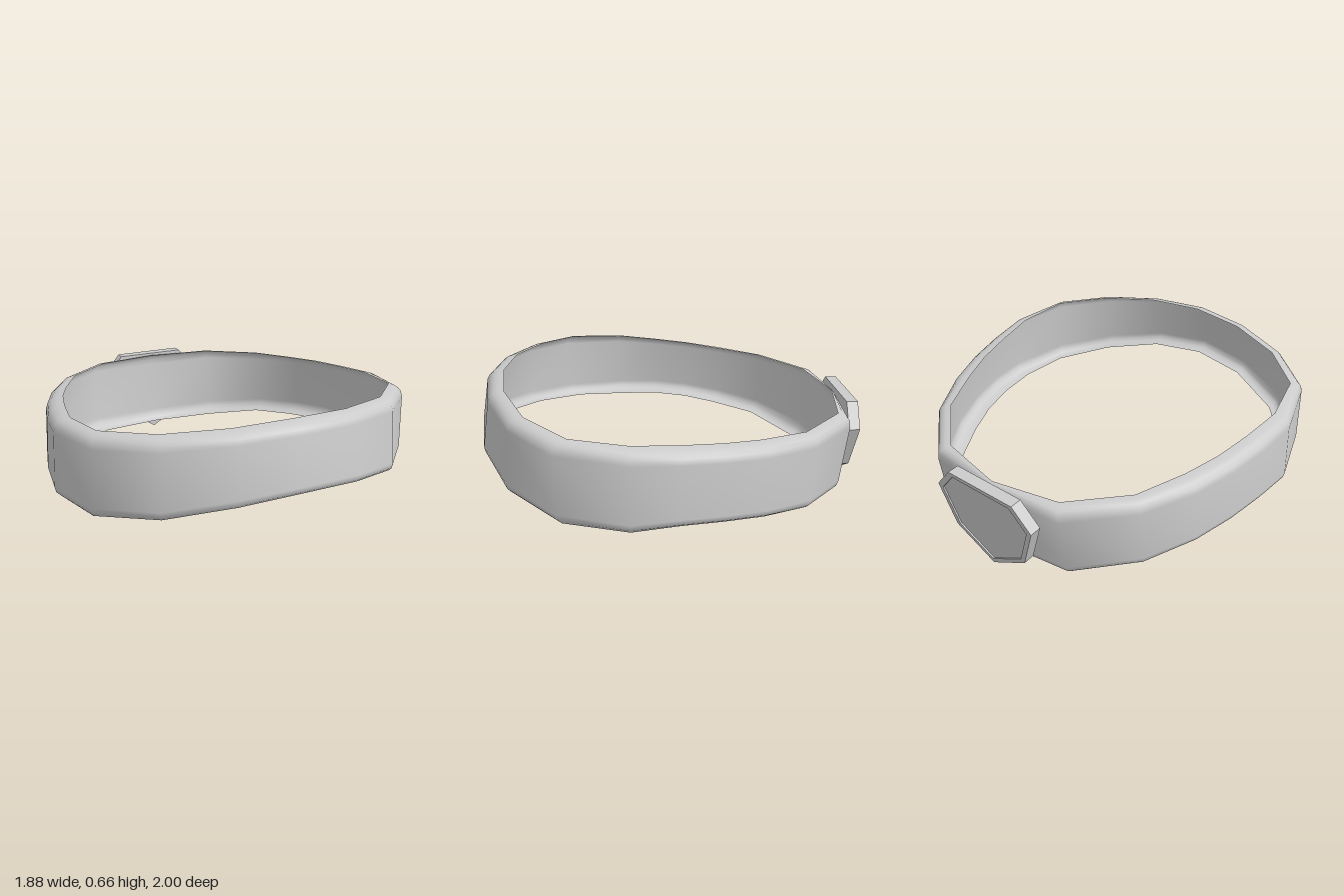
import * as THREE from 'three';

const grey = (side = THREE.FrontSide) => new THREE.MeshStandardMaterial({ color: 0xcccccc, side });

// Half of the ring, front to back: outer x, outer z, lip x, lip z,
// bottom y, top y, backward lean of the wall, backward lean of the lip
const HALF = [
  [0, 1.006, 0, 0.925, 0.333, 0.657, 0.06, 0.06],
  [0.312, 0.96, 0.3, 0.886, 0.307, 0.645, 0.055, 0.055],
  [0.615, 0.818, 0.595, 0.746, 0.245, 0.622, 0.035, 0.035],
  [0.855, 0.565, 0.812, 0.502, 0.197, 0.602, -0.005, -0.005],
  [0.945, 0.242, 0.862, 0.235, 0.18, 0.58, 0, 0],
  [0.923, 0.015, 0.83, 0.01, 0.188, 0.56, 0, 0],
  [0.88, -0.19, 0.788, -0.185, 0.175, 0.543, 0.005, 0.005],
  [0.808, -0.4, 0.723, -0.365, 0.151, 0.525, 0.01, 0.01],
  [0.67, -0.64, 0.61, -0.597, 0.116, 0.507, 0.02, 0.02],
  [0.395, -0.862, 0.355, -0.797, 0.063, 0.492, 0.05, 0.05],
  [0, -0.906, 0, -0.857, 0.053, 0.487, 0.033, 0.06],
];
const mirrored = HALF.slice(1, -1).reverse().map(([ox, oz, ix, ...rest]) => [-ox, oz, -ix, ...rest]);
const STATIONS = [...HALF, ...mirrored];

// Open cross-section with rolled-in lips: [0 = outer .. 1 = lip edge, 0 = bottom .. 1 = top]
const LIP = [[1, 0], [0.62, 0.008], [0.32, 0.032], [0.1, 0.077], [0, 0.15]];
const PROFILE = [...LIP, ...LIP.slice().reverse().map(([u, t]) => [u, 1 - t])];

// Sweeps the open cross-section round the closed ring
function bandGeometry() {
  const pos = [], index = [];
  const { lerp } = THREE.MathUtils;
  const n = STATIONS.length, m = PROFILE.length;
  STATIONS.forEach(([ox, oz, ix, iz, bottom, top, wallLean, lipLean], i) => {
    PROFILE.forEach(([u, t], j) => {
      pos.push(
        lerp(ox, ix, u) * (1 - 0.025 * t),
        lerp(bottom, top, t),
        lerp(oz, iz, u) - lerp(wallLean, lipLean, u) * t
      );
      if (j < m - 1) {
        const a = i * m + j, b = ((i + 1) % n) * m + j;
        index.push(a, b, a + 1, b, b + 1, a + 1);
      }
    });
  });
  const geo = new THREE.BufferGeometry();
  geo.setAttribute('position', new THREE.Float32BufferAttribute(pos, 3));
  geo.setIndex(index);
  geo.computeVertexNormals();
  return geo;
}

// Seven-sided badge outline, scaled about its middle
function outline(scale) {
  const side = [[0.2, 0.495], [0.3, 0.375], [0.225, 0.142]];
  const points = [[0, 0], ...side.slice().reverse(), ...side.map(([x, y]) => [-x, y])];
  return points.map(([x, y]) => new THREE.Vector2(x * scale, 0.27 + (y - 0.27) * scale));
}

// Slab of the badge from zBack to its inner side, leaning back towards the top
function slab(shape, zBack) {
  const lean = new THREE.Matrix4().set(1, 0, 0, 0, 0, 1, 0, 0, 0, -0.07, 1, 0, 0, 0, 0, 1);
  return new THREE.ExtrudeGeometry(shape, { depth: -0.905 - zBack, bevelEnabled: false })
    .translate(0, 0, zBack)
    .applyMatrix4(lean);
}

export function createModel() {
  const model = new THREE.Group();
  const add = (parent, name, geo, material) => {
    const mesh = new THREE.Mesh(geo, material);
    mesh.name = name;
    parent.add(mesh);
  };

  // Thin band, open on its inner side
  add(model, 'band', bandGeometry(), grey(THREE.DoubleSide));

  // Badge at the back: rim around a slightly sunken plate
  const badge = new THREE.Group();
  badge.name = 'badge';
  const rimShape = new THREE.Shape(outline(1));
  rimShape.holes.push(new THREE.Path(outline(0.9)));
  add(badge, 'badgeRim', slab(rimShape, -0.965), grey());
  add(badge, 'badgePlate', slab(new THREE.Shape(outline(0.9)), -0.957), grey());
  model.add(badge);

  return model;
}
